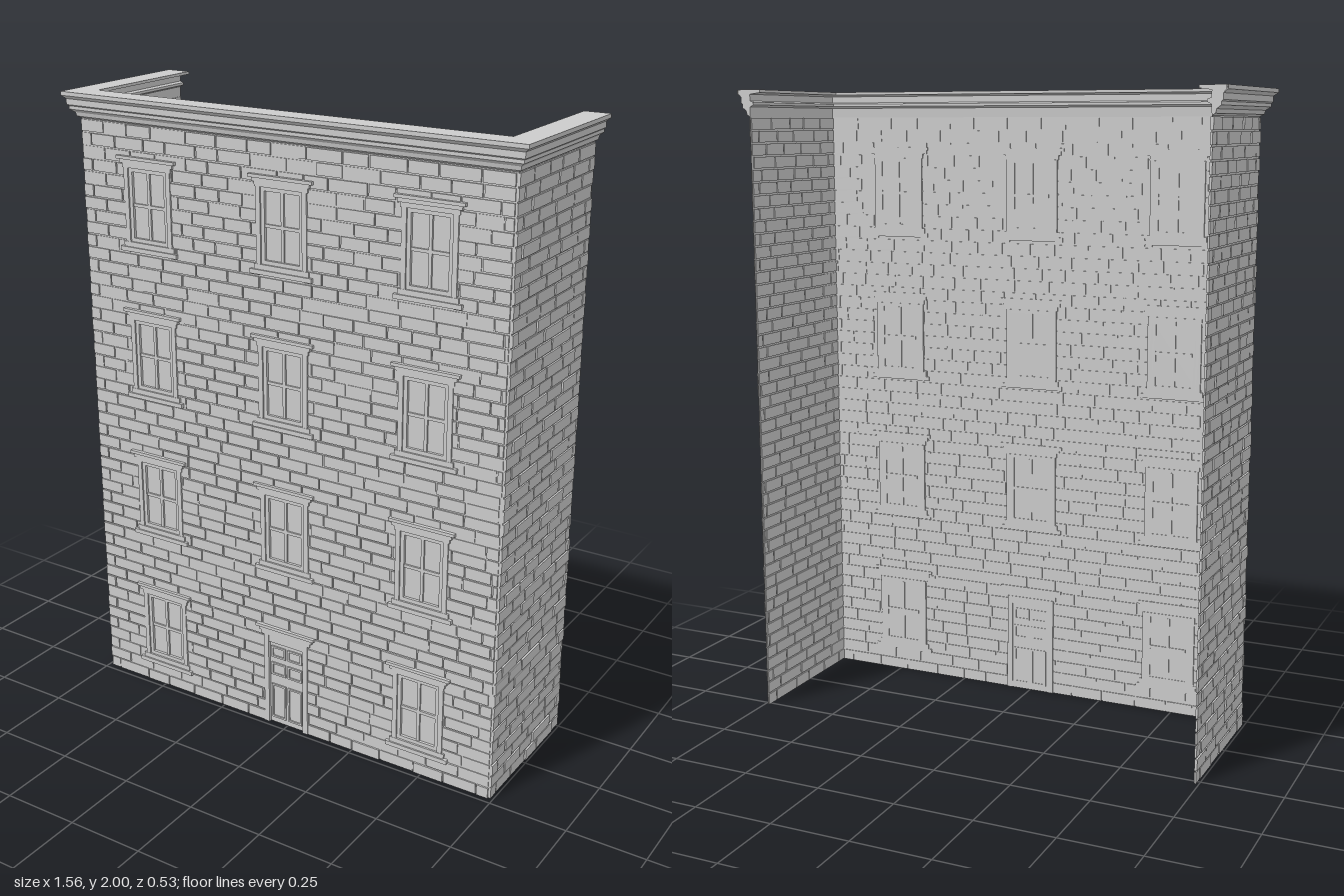
import * as THREE from 'three';
import { mergeGeometries } from 'three/addons/utils/BufferGeometryUtils.js';

const W = 0.738, F = 0.227, BACK = -0.267, TOP = 1.94;
const mat = new THREE.MeshStandardMaterial({ color: 0xcccccc, side: THREE.DoubleSide, flatShading: true });

let seed = 7;
const rand = () => (seed = (seed * 16807) % 2147483647) / 2147483647;

// box given by its min and max corners
function box(x0, x1, y0, y1, z0, z1) {
  return new THREE.BoxGeometry(x1 - x0, y1 - y0, z1 - z0)
    .translate((x0 + x1) / 2, (y0 + y1) / 2, (z0 + z1) / 2);
}
function mesh(name, geometries) {
  const m = new THREE.Mesh(mergeGeometries(geometries), mat);
  m.name = name;
  return m;
}

// thin wall in the xy plane with openings and staggered bricks
function brickWall(name, x0, x1, openings) {
  const group = new THREE.Group();
  group.name = name;
  const shape = new THREE.Shape();
  shape.moveTo(x0, 0).lineTo(x1, 0).lineTo(x1, TOP).lineTo(x0, TOP).closePath();
  for (const o of openings) {
    const hole = new THREE.Path();
    hole.moveTo(o.x0, o.y0).lineTo(o.x0, o.y1).lineTo(o.x1, o.y1).lineTo(o.x1, o.y0).closePath();
    shape.holes.push(hole);
  }
  group.add(mesh('wallSheet', [new THREE.ShapeGeometry(shape)]));

  const bricks = [], courses = 48, h = 1.92 / courses, gap = 0.005;
  for (let i = 0; i < courses; i++) {
    const y0 = i * h, y1 = y0 + h - gap;
    let a = x0;
    while (a < x1 - 0.01) {
      const first = a === x0;
      const b = Math.min(x1, a + (first ? 0.04 + (i % 2) * 0.05 : 0.08 + rand() * 0.05));
      let spans = [[a, b - gap]];
      for (const o of openings) {
        if (y1 <= o.y0 || y0 >= o.y1) continue;
        spans = spans.flatMap(([s, e]) => (e <= o.x0 || s >= o.x1) ? [[s, e]] : [[s, o.x0], [o.x1, e]])
          .filter(([s, e]) => e - s > 0.008);
      }
      const d = 0.002 + rand() * 0.004;
      for (const [s, e] of spans) bricks.push(box(s, e, y0, y1, -0.003, d));
      a = b;
    }
  }
  group.add(mesh('bricks', bricks));
  return group;
}

// stepped lintel shared by windows and door, bottom at y
function lintel(y) {
  return [
    box(-0.092, 0.092, y, y + 0.014, -0.006, 0.008),
    box(-0.1, 0.1, y + 0.014, y + 0.026, -0.006, 0.011),
    box(-0.11, 0.11, y + 0.026, y + 0.036, -0.006, 0.015),
  ];
}

function windowUnit() {
  const g = new THREE.Group();
  g.name = 'window';
  const frame = [], sash = [];
  for (const s of [-1, 1]) {
    frame.push(box(s * 0.08 - 0.008, s * 0.08 + 0.008, 0.03, 0.26, -0.008, 0.008));
    sash.push(box(s * 0.066 - 0.006, s * 0.066 + 0.006, 0.03, 0.26, -0.008, 0.003));
  }
  sash.push(box(-0.072, 0.072, 0.03, 0.042, -0.008, 0.003));
  sash.push(box(-0.072, 0.072, 0.248, 0.26, -0.008, 0.003));
  // crossing glazing bars
  sash.push(box(-0.005, 0.005, 0.042, 0.248, -0.009, 0));
  sash.push(box(-0.06, 0.06, 0.14, 0.15, -0.009, 0));
  g.add(mesh('frame', frame), mesh('sash', sash));
  g.add(mesh('lintel', lintel(0.26)));
  g.add(mesh('sill', [box(-0.108, 0.108, 0, 0.014, -0.006, 0.014), box(-0.096, 0.096, 0.014, 0.03, -0.006, 0.009)]));
  g.add(mesh('glass', [new THREE.PlaneGeometry(0.16, 0.23).translate(0, 0.145, -0.006)]));
  return g;
}

function doorUnit() {
  const g = new THREE.Group();
  g.name = 'door';
  const frame = [], panels = [];
  for (const s of [-1, 1]) frame.push(box(s * 0.074 - 0.009, s * 0.074 + 0.009, 0, 0.325, -0.008, 0.008));
  frame.push(box(-0.065, 0.065, 0.3, 0.325, -0.008, 0.006));
  // raised mouldings around the six panels
  for (const s of [-1, 1]) {
    for (const [y0, y1] of [[0.02, 0.145], [0.18, 0.225], [0.245, 0.285]]) {
      const x0 = s < 0 ? -0.058 : 0.004, x1 = x0 + 0.054, t = 0.006;
      panels.push(box(x0, x1, y0, y0 + t, -0.008, 0.003), box(x0, x1, y1 - t, y1, -0.008, 0.003));
      panels.push(box(x0, x0 + t, y0 + t, y1 - t, -0.008, 0.003), box(x1 - t, x1, y0 + t, y1 - t, -0.008, 0.003));
    }
  }
  g.add(mesh('doorFrame', frame), mesh('panelMouldings', panels), mesh('lintel', lintel(0.324)));
  g.add(mesh('doorLeaf', [box(-0.066, 0.066, 0, 0.302, -0.006, -0.002)]));
  return g;
}

// moulding profile (outward offset, height) swept along the three walls with mitred corners
function cornice() {
  const profile = [
    [0, 1.918], [0.01, 1.924], [0.013, 1.936], [0.026, 1.946], [0.026, 1.956], [0.031, 1.96],
    [0.031, 1.978], [0.04, 1.988], [0.04, 2], [-0.038, 2], [-0.038, 1.991], [-0.002, 1.986],
    [-0.002, 1.966], [-0.014, 1.962], [-0.014, 1.954], [-0.002, 1.948],
  ];
  const pos = [], idx = [], n = profile.length;
  for (const [d, y] of profile) {
    const w = W + d + (d > 0.035 ? 0.004 : 0);
    for (const [x, z] of [[-w, BACK], [-w, F + d], [w, F + d], [w, BACK]]) pos.push(x, y, z);
  }
  for (let i = 0; i < n; i++) {
    for (let j = 0; j < 3; j++) {
      const a = i * 4 + j, b = ((i + 1) % n) * 4 + j;
      idx.push(a, a + 1, b + 1, a, b + 1, b);
    }
  }
  const geo = new THREE.BufferGeometry();
  geo.setAttribute('position', new THREE.Float32BufferAttribute(pos, 3));
  geo.setIndex(idx);
  const flat = geo.toNonIndexed();
  flat.computeVertexNormals();
  const m = new THREE.Mesh(flat, mat);
  m.name = 'cornice';
  // closed ends at the back
  const end = new THREE.Shape(profile.map(([d, y]) => new THREE.Vector2(W + d, y)));
  const caps = [1, -1].map((s) => {
    const c = mesh('corniceEnd', [new THREE.ShapeGeometry(end)]);
    c.position.z = BACK;
    c.scale.x = s;
    return c;
  });
  const g = new THREE.Group();
  g.name = 'corniceGroup';
  g.add(m, ...caps);
  return g;
}

export function createModel() {
  const model = new THREE.Group();
  model.name = 'townhouseFacade';

  const openings = [{ x0: -0.08, x1: 0.08, y0: 0, y1: 0.325 }];
  const facade = new THREE.Group();
  facade.name = 'frontDetails';
  facade.position.z = F;
  // four storeys of three bays, with the door in the middle of the ground floor
  for (let floor = 0; floor < 4; floor++) {
    for (const x of [-0.488, 0, 0.485]) {
      if (floor === 0 && x === 0) continue;
      const y = 0.073 + floor * 0.484;
      const w = windowUnit();
      w.position.set(x, y, 0);
      facade.add(w);
      openings.push({ x0: x - 0.08, x1: x + 0.08, y0: y + 0.03, y1: y + 0.26 });
    }
  }
  facade.add(doorUnit());

  const front = brickWall('frontWall', -W, W, openings);
  front.position.z = F;
  const left = brickWall('leftWall', -F, -BACK, []);
  left.rotation.y = Math.PI / 2;
  left.position.x = W;
  const right = brickWall('rightWall', BACK, F, []);
  right.rotation.y = -Math.PI / 2;
  right.position.x = -W;

  model.add(front, left, right, facade, cornice());
  return model;
}
